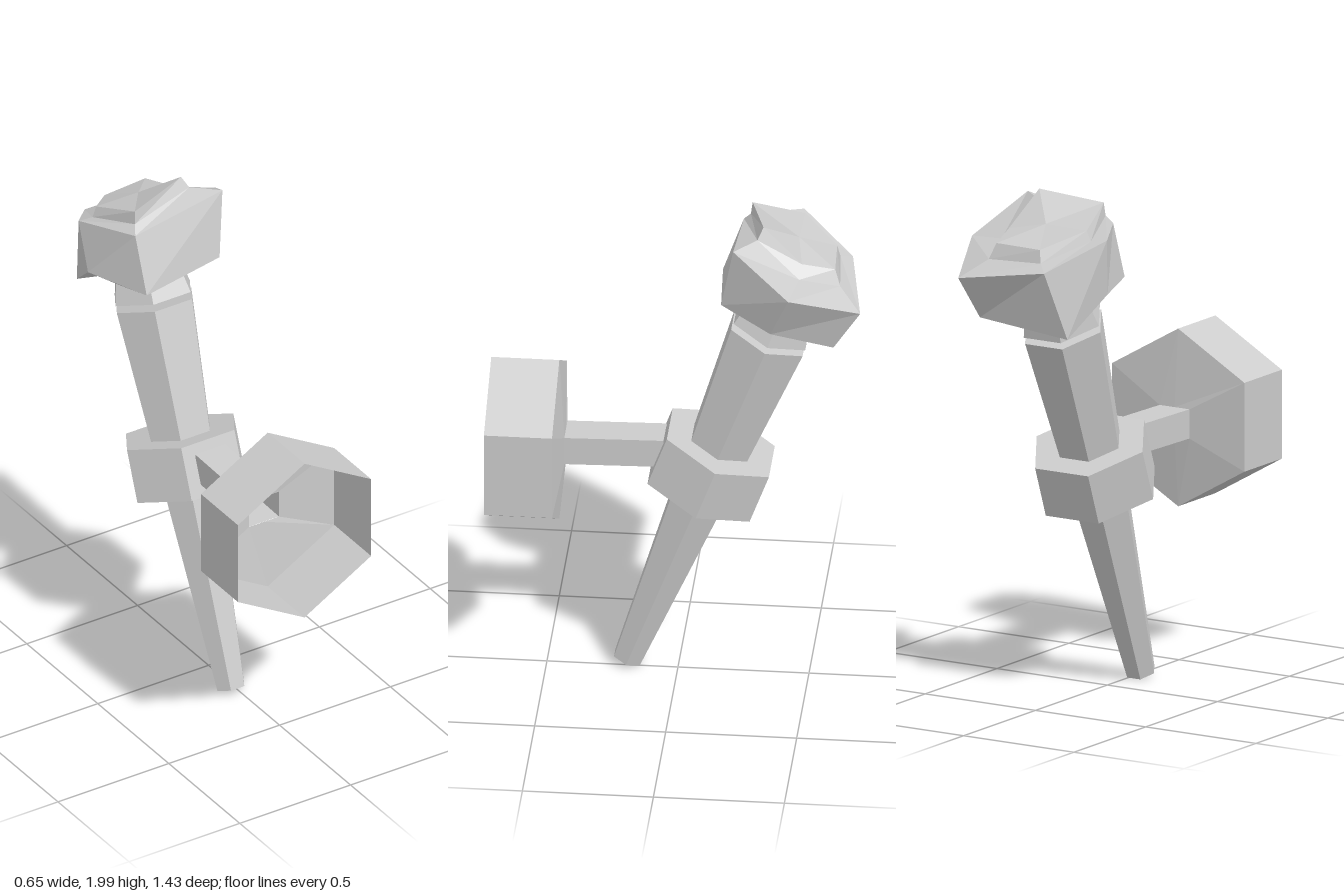
import * as THREE from 'three';

const CX = -0.025;
const TILT = 0.356;
const material = new THREE.MeshStandardMaterial({ color: 0xcccccc, flatShading: true, side: THREE.DoubleSide });

function addMesh(parent, name, geometry) {
  const mesh = new THREE.Mesh(geometry, material);
  mesh.name = name;
  parent.add(mesh);
  return mesh;
}

// Six-sided piece along the torch axis, with a flat side to the front
function hexPiece(rTop, rBottom, from, to) {
  return new THREE.CylinderGeometry(rTop, rBottom, to - from, 6)
    .rotateY(Math.PI / 6)
    .translate(0, (from + to) / 2, 0);
}

// Faceted skin through matching rings (bottom to top), closed at both ends
function loft(rings) {
  const pos = [];
  const tri = (...points) => points.forEach((p) => pos.push(...p));
  const n = rings[0].length;
  const middle = (ring) => [0, 1, 2].map((k) => ring.reduce((sum, p) => sum + p[k], 0) / n);
  const last = rings[rings.length - 1];
  const low = middle(rings[0]);
  const high = middle(last);
  for (let i = 0; i < n; i++) {
    const j = (i + 1) % n;
    for (let r = 0; r < rings.length - 1; r++) {
      const a = rings[r], b = rings[r + 1];
      tri(a[i], a[j], b[j]);
      tri(a[i], b[j], b[i]);
    }
    tri(low, rings[0][j], rings[0][i]);
    tri(high, last[i], last[j]);
  }
  const geometry = new THREE.BufferGeometry();
  geometry.setAttribute('position', new THREE.Float32BufferAttribute(pos, 3));
  geometry.computeVertexNormals();
  return geometry;
}

export function createModel() {
  const model = new THREE.Group();
  model.name = 'wallTorch';

  // Leaning shaft with its holder ring and neck
  const shaft = new THREE.Group();
  shaft.name = 'shaft';
  shaft.position.set(CX, 0.025, 0.195);
  shaft.rotation.x = -TILT;
  model.add(shaft);
  addMesh(shaft, 'handle', hexPiece(0.168, 0.06, 0, 1.549));
  addMesh(shaft, 'holderRing', hexPiece(0.24, 0.24, 0.81, 1.022));
  addMesh(shaft, 'neck', hexPiece(0.145, 0.168, 1.577, 1.67));

  // Irregular head: rings run front right, right, back right, back left, left, front left
  const base = [60, 0, -60, -120, 180, 120].map((deg) => {
    const a = THREE.MathUtils.degToRad(deg);
    const d = 0.145 * Math.sin(a);
    return [CX + 0.145 * Math.cos(a), 1.58 + d * Math.sin(TILT), -0.385 + d * Math.cos(TILT)];
  });
  const lower = [
    [0.165, 1.695, -0.18], [0.24, 1.62, -0.375], [0.18, 1.54, -0.61],
    [-0.21, 1.5, -0.6], [-0.275, 1.65, -0.42], [-0.18, 1.655, -0.155],
  ];
  const upper = [
    [0.21, 1.955, -0.23], [0.32, 1.81, -0.45], [0.21, 1.71, -0.715],
    [-0.14, 1.76, -0.655], [-0.295, 1.87, -0.455], [-0.18, 1.88, -0.235],
  ];
  const crown = [
    [0.09, 2.0, -0.335], [0.13, 1.87, -0.485], [0.105, 1.84, -0.61],
    [-0.085, 1.835, -0.6], [-0.21, 1.9, -0.465], [-0.16, 1.965, -0.27],
  ];
  // Ledge around the raised crown
  const ledge = crown.map((p, i) => p.map((v, k) => v + (upper[i][k] - v) * 0.2 - (k === 1 ? 0.035 : 0)));
  addMesh(model, 'head', loft([base, lower, upper, ledge, crown]));

  // Open hollow arm from the ring to the wall mount
  const arm = addMesh(model, 'arm', new THREE.CylinderGeometry(Math.SQRT1_2, Math.SQRT1_2, 1, 4, 1, true)
    .rotateY(Math.PI / 4)
    .rotateX(Math.PI / 2)
    .scale(0.135, 0.114, 0.38));
  arm.position.set(CX, 0.957, 0.24);
  arm.rotation.x = 0.02;

  // Hollow six-sided wall mount, open at the front
  const mount = new THREE.Group();
  mount.name = 'wallMount';
  mount.position.set(CX, 0.965, 0);
  model.add(mount);
  addMesh(mount, 'mountRim', new THREE.CylinderGeometry(0.347, 0.347, 0.26, 6, 1, true)
    .rotateX(Math.PI / 2)
    .translate(0, 0, 0.585));

  // Shallow back whose inner edge is squared off to meet the arm
  const back = new THREE.CylinderGeometry(0.347, 0.078, 0.025, 6, 1, true)
    .rotateX(Math.PI / 2)
    .translate(0, 0, 0.4425);
  const p = back.attributes.position;
  for (let i = 0; i < p.count; i++) {
    if (p.getZ(i) < 0.44) p.setY(i, Math.sign(p.getY(i)) * 0.057 - 0.012);
  }
  back.computeVertexNormals();
  addMesh(mount, 'mountBack', back);

  return model;
}
